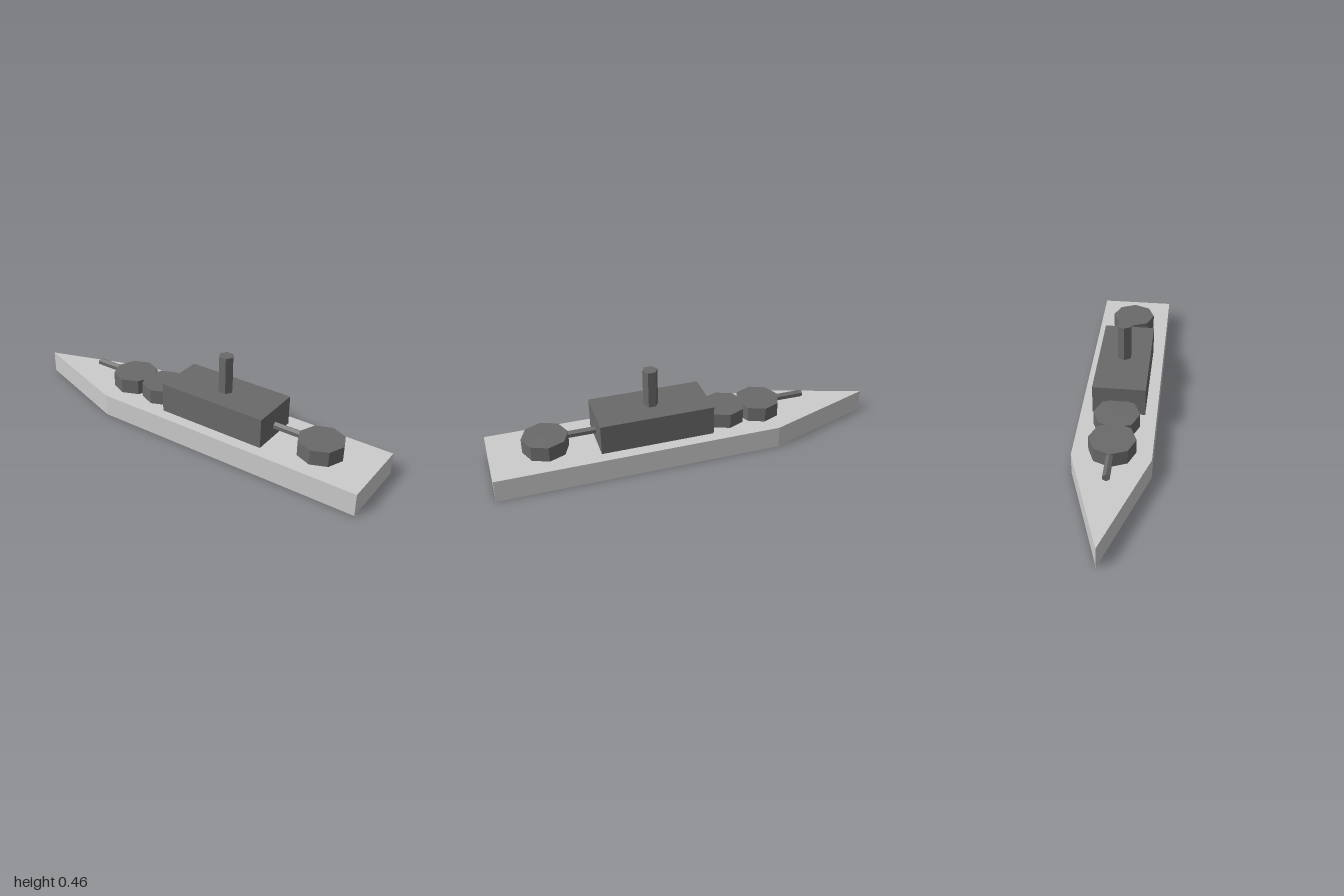
import * as THREE from 'three';

export function createModel() {
  const ship = new THREE.Group();
  ship.name = 'warship';
  const hullGrey = new THREE.MeshStandardMaterial({ color: 0xcccccc, flatShading: true });
  const darkGrey = new THREE.MeshStandardMaterial({ color: 0x6a6a6a, flatShading: true });

  const deckY = 0.115;

  function add(parent, name, geometry, material, x, y, z) {
    const mesh = new THREE.Mesh(geometry, material);
    mesh.name = name;
    mesh.position.set(x, y, z);
    parent.add(mesh);
    return mesh;
  }

  // Hull: flat deck plan with a pointed bow towards -z, extruded upwards
  const plan = new THREE.Shape([
    new THREE.Vector2(-0.192, -1),
    new THREE.Vector2(0.192, -1),
    new THREE.Vector2(0.192, 0.435),
    new THREE.Vector2(0, 1),
    new THREE.Vector2(-0.192, 0.435),
  ]);
  const hull = new THREE.ExtrudeGeometry(plan, { depth: deckY, bevelEnabled: false });
  hull.rotateX(-Math.PI / 2);
  add(ship, 'hull', hull, hullGrey, 0, 0, 0);

  // Superstructure block and hexagonal funnel
  add(ship, 'superstructure', new THREE.BoxGeometry(0.266, 0.153, 0.574), darkGrey, 0, deckY + 0.0765, 0.186);
  add(ship, 'funnel', new THREE.CylinderGeometry(0.038, 0.038, 0.192, 6), darkGrey, 0, 0.364, 0.186);

  // Octagonal gun turrets, each with one hexagonal barrel pointing to the bow
  const turretGeometry = new THREE.CylinderGeometry(0.115, 0.115, 0.077, 8);
  const barrelGeometry = new THREE.CylinderGeometry(0.019, 0.019, 0.25, 6);
  barrelGeometry.rotateX(Math.PI / 2);
  const turrets = { bowTurret: -0.387, middleTurret: -0.196, sternTurret: 0.722 };
  for (const [name, z] of Object.entries(turrets)) {
    const turret = new THREE.Group();
    turret.name = name;
    turret.position.set(0, deckY, z);
    add(turret, 'turretHousing', turretGeometry, darkGrey, 0, 0.0385, 0);
    add(turret, 'gunBarrel', barrelGeometry, darkGrey, 0, 0.0575, -0.125);
    ship.add(turret);
  }

  return ship;
}
